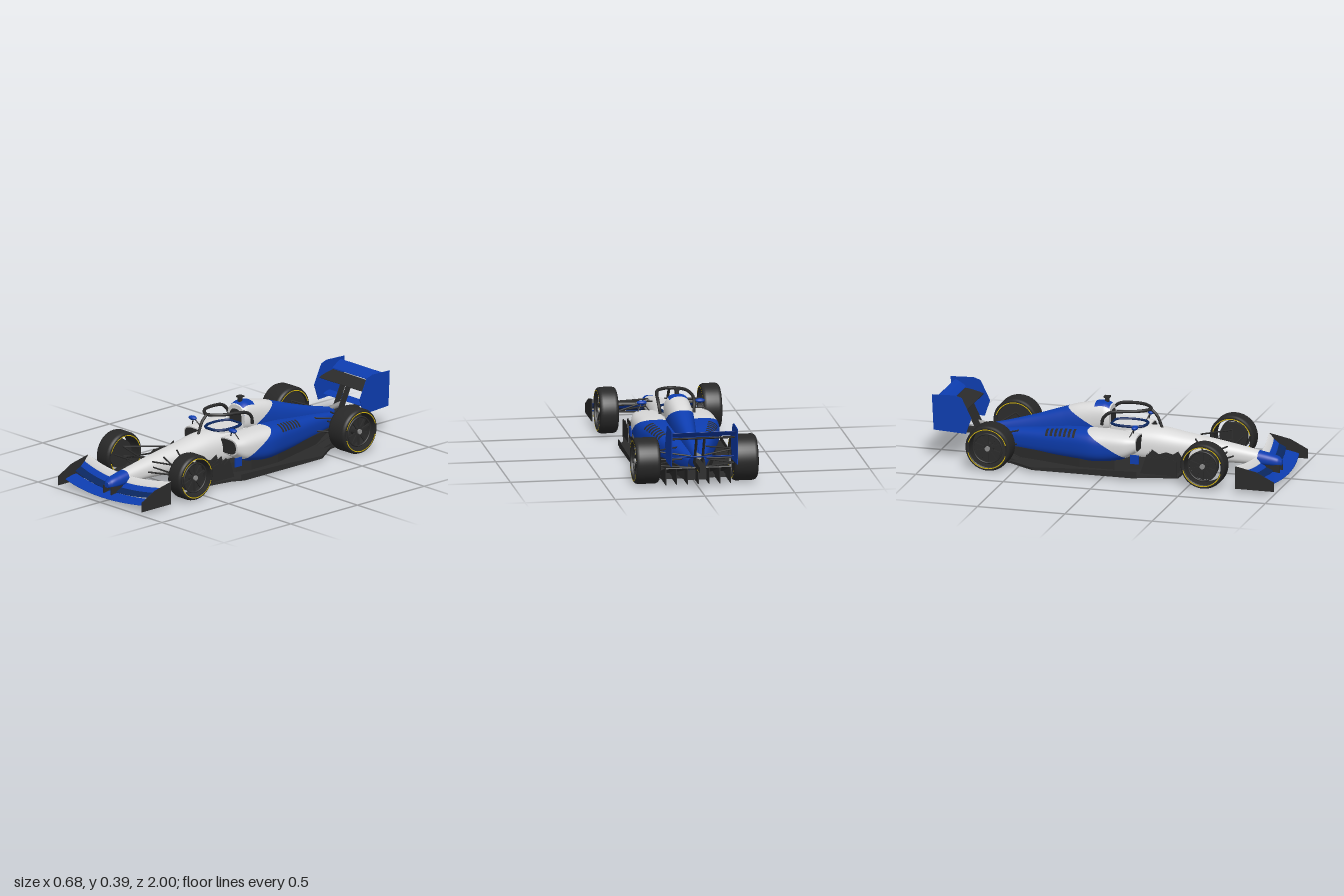
import * as THREE from 'three';
import { ParametricGeometry } from 'three/addons/geometries/ParametricGeometry.js';

const mat = (name, color) => Object.assign(new THREE.MeshStandardMaterial({ color }), { name });
const V = (x, y, z) => new THREE.Vector3(x, y, z);
const TAU = Math.PI * 2;

export function createModel() {
  const car = new THREE.Group();
  car.name = 'racingCar';
  const white = mat('white', 0xdadada), blue = mat('blue', 0x0d3db0), navy = mat('navy', 0x0a2760);
  const carbon = mat('carbon', 0x2b2b2b), rubber = mat('rubber', 0x282828);
  const yellow = mat('yellow', 0xd8b90a), grey = mat('grey', 0x8c8c8c);

  const add = (name, geo, m, parent = car) => {
    const mesh = new THREE.Mesh(geo, m);
    mesh.name = name;
    parent.add(mesh);
    return mesh;
  };
  const box = (name, m, w, h, d, x, y, z, parent) => {
    const b = add(name, new THREE.BoxGeometry(w, h, d), m, parent);
    b.position.set(x, y, z);
    return b;
  };
  const rod = (name, m, a, b, r = 0.005) => {
    const c = add(name, new THREE.CylinderGeometry(r, r, a.distanceTo(b), 8), m);
    c.position.copy(a).lerp(b, 0.5);
    c.quaternion.setFromUnitVectors(V(0, 1, 0), b.clone().sub(a).normalize());
  };
  const tube = (name, m, pts, r, closed = false) =>
    add(name, new THREE.TubeGeometry(new THREE.CatmullRomCurve3(pts.map(p => V(...p)), closed), 64, r, 10, closed), m);
  // upright plate from a (z, y) outline, centred on x
  const plate = (name, m, pts, x, t = 0.004) => {
    const g = new THREE.ExtrudeGeometry(new THREE.Shape(pts.map(p => new THREE.Vector2(...p))), { depth: t, bevelEnabled: false });
    add(name, g.translate(0, 0, -t / 2).rotateY(-Math.PI / 2), m).position.x = x;
  };
  // flat slab from half an (x, z) outline, mirrored
  const slab = (name, m, half, y, t) => {
    const pts = [...half, ...half.map(([x, z]) => [-x, z]).reverse()].map(p => new THREE.Vector2(...p));
    const g = new THREE.ExtrudeGeometry(new THREE.Shape(pts), { depth: t, bevelEnabled: false });
    add(name, g.rotateX(Math.PI / 2), m).position.y = y;
  };

  // smooth sections: rows [z, halfWidth, bottom, top, centreX], z falling
  const sample = (rows, z) => {
    let i = 0;
    while (i < rows.length - 2 && z < rows[i + 1][0]) i++;
    const a = rows[i], b = rows[i + 1], p = rows[i - 1] || a, q = rows[i + 2] || b, h = b[0] - a[0];
    const s = THREE.MathUtils.clamp((z - a[0]) / h, 0, 1), s2 = s * s, s3 = s2 * s;
    return [1, 2, 3, 4].map(k => {
      const m0 = (b[k] - p[k]) / (b[0] - p[0]) * h, m1 = (q[k] - a[k]) / (q[0] - a[0]) * h;
      return (2 * s3 - 3 * s2 + 1) * a[k] + (s3 - 2 * s2 + s) * m0 + (3 * s2 - 2 * s3) * b[k] + (s3 - s2) * m1;
    });
  };
  const pw = (v, e) => Math.sign(v) * Math.abs(v) ** e;
  const surface = (rows, side = 1, e = 0.8, mid = 0.42) => (z, t, off = 0) => {
    const [w, yb, yt, cx] = sample(rows, z), ym = yb + (yt - yb) * mid, s = pw(Math.sin(t), e);
    return V(side * cx + (w + off) * pw(Math.cos(t), e), ym + (s > 0 ? yt - ym + off : ym - yb + off) * s, z);
  };
  // skin between two z limits; a limit may depend on height
  const skin = (name, m, S, back, front, t0 = 0, t1 = TAU, off = 0, nu = 48, nv = 32) => {
    const limit = (f, t) => {
      if (typeof f === 'number') return f;
      let z = -0.1;
      for (let i = 0; i < 14; i++) z = (z + f(S(z, t).y)) / 2;
      return z;
    };
    add(name, new ParametricGeometry((u, v, p) => {
      const t = t0 + (t1 - t0) * u;
      p.copy(S(THREE.MathUtils.lerp(limit(back, t), limit(front, t), v), t, off));
    }, nu, nv), m);
  };
  const cap = (name, m, S, z, scale = 1, dz = 0) => {
    const c = S(z, 0).add(S(z, Math.PI)).multiplyScalar(0.5);
    c.y = (S(z, Math.PI / 2).y + S(z, -Math.PI / 2).y) / 2;
    add(name, new ParametricGeometry((u, v, p) => {
      p.copy(S(z, u * TAU)).lerp(c, 1 - scale * (1 - v));
      p.z += dz;
    }, 40, 2), m);
  };
  // slanted colour edge between white front and blue rear
  const edge = (lo, hi) => y => THREE.MathUtils.clamp(0.3 - 1.8 * y, lo, hi);

  // nose and cockpit tub
  const tub = surface([[0.95, 0.016, 0.075, 0.105, 0], [0.93, 0.032, 0.07, 0.122, 0], [0.88, 0.04, 0.07, 0.136, 0],
    [0.81, 0.045, 0.072, 0.15, 0], [0.6, 0.062, 0.07, 0.187, 0], [0.4, 0.085, 0.06, 0.215, 0],
    [0.25, 0.1, 0.05, 0.238, 0], [0.1, 0.105, 0.05, 0.238, 0], [-0.15, 0.1, 0.05, 0.235, 0]]);
  skin('noseAndTub', white, tub, -0.15, 0.82);
  skin('noseTip', blue, tub, 0.82, 0.95);
  cap('noseTipFace', blue, tub, 0.95);
  for (const s of [-1, 1]) box('nosePylon', carbon, 0.006, 0.045, 0.09, s * 0.03, 0.06, 0.9);

  // airbox and engine cover
  const cover = surface([[-0.02, 0.07, 0.2, 0.342, 0], [-0.06, 0.073, 0.19, 0.358, 0], [-0.2, 0.071, 0.15, 0.337, 0],
    [-0.3, 0.064, 0.1, 0.306, 0], [-0.45, 0.048, 0.08, 0.255, 0], [-0.6, 0.033, 0.08, 0.21, 0], [-0.74, 0.02, 0.1, 0.175, 0]]);
  skin('airbox', white, cover, edge(-0.74, -0.02), -0.02);
  skin('engineCover', blue, cover, -0.74, edge(-0.74, -0.02));
  cap('airboxFace', white, cover, -0.02);
  cap('airIntake', carbon, cover, -0.02, 0.7, 0.004);
  skin('airboxTopPatch', blue, cover, -0.11, -0.025, 0.9, Math.PI - 0.9, 0.003, 16, 6);
  box('cameraStalk', carbon, 0.02, 0.035, 0.02, 0, 0.367, -0.05);
  box('cameraPod', carbon, 0.032, 0.008, 0.035, 0, 0.385, -0.05);

  // sidepods with intake and louvres
  for (const side of [1, -1]) {
    const pod = surface([[0.17, 0.078, 0.13, 0.222, 0.137], [0.1, 0.09, 0.09, 0.229, 0.14], [0, 0.097, 0.065, 0.234, 0.136],
      [-0.1, 0.1, 0.058, 0.234, 0.13], [-0.25, 0.09, 0.055, 0.222, 0.1], [-0.4, 0.075, 0.055, 0.2, 0.068],
      [-0.55, 0.055, 0.06, 0.18, 0.04], [-0.72, 0.03, 0.08, 0.155, 0.018]], side, 0.72, 0.5);
    skin('sidepodFront', white, pod, edge(-0.72, 0.17), 0.17);
    skin('sidepodRear', blue, pod, -0.72, edge(-0.72, 0.17));
    cap('sidepodLip', white, pod, 0.17);
    cap('sidepodIntake', carbon, pod, 0.17, 0.88, 0.003);
    box('sidepodFin', blue, 0.008, 0.05, 0.05, side * 0.222, 0.105, 0.17);
    for (let i = 0; i < 7; i++) {
      const z = -0.18 - i * 0.028, t = side > 0 ? [0.5, 1.3] : [Math.PI - 1.3, Math.PI - 0.5];
      skin('louvre', carbon, pod, z - 0.015, z, ...t, 0.004, 10, 2);
    }
    // mirror
    const mirror = add('mirror', new THREE.SphereGeometry(1, 16, 10), blue);
    mirror.scale.set(0.028, 0.012, 0.018);
    mirror.position.set(side * 0.162, 0.268, 0.155);
    rod('mirrorStay', carbon, V(side * 0.15, 0.262, 0.15), V(side * 0.115, 0.215, 0.13), 0.003);
    rod('mirrorStay', carbon, V(side * 0.165, 0.262, 0.15), V(side * 0.19, 0.215, 0.13), 0.003);
  }

  // cockpit surround, rim and halo
  slab('cockpitSurround', white, [[0.035, 0.175], [0.06, 0.15], [0.07, 0.08], [0.065, -0.01], [0.04, -0.03]], 0.243, 0.05);
  tube('cockpitRim', navy, [[0.04, 0.246, 0.17], [0.068, 0.246, 0.13], [0.07, 0.246, 0.04], [0.045, 0.246, -0.01],
    [-0.045, 0.246, -0.01], [-0.07, 0.246, 0.04], [-0.068, 0.246, 0.13], [-0.04, 0.246, 0.17]], 0.008, true);
  const haloHalf = [[0.093, 0.25, -0.055], [0.098, 0.29, -0.045], [0.1, 0.322, -0.01], [0.094, 0.334, 0.06], [0.07, 0.337, 0.15]];
  tube('halo', carbon, [...haloHalf, [0, 0.335, 0.2], ...haloHalf.map(([x, y, z]) => [-x, y, z]).reverse()], 0.009);
  tube('haloPillar', carbon, [[0, 0.335, 0.2], [0, 0.3, 0.235], [0, 0.23, 0.265]], 0.008);

  // floor, underbody and barge boards
  slab('floor', carbon, [[0.22, 0.42], [0.25, 0.25], [0.285, 0.18], [0.285, -0.4], [0.19, -0.55], [0.18, -0.62]], 0.03, 0.014);
  slab('underbody', carbon, [[0.09, 0.33], [0.17, 0.14], [0.2, 0.05], [0.2, -0.15], [0.06, -0.7]], 0.085, 0.06);
  for (const s of [-1, 1]) {
    plate('floorEdge', carbon, [[0.2, 0.02], [0.2, 0.055], [-0.15, 0.045], [-0.4, 0.032], [-0.4, 0.02]], s * 0.283);
    [0.12, 0.16, 0.2, 0.225].forEach((x, i) => plate('bargeBoard', carbon,
      [[0.41, 0.02], [0.41, 0.11], [0.39, 0.14 - i * 0.006], [0.36, 0.12], [0.32, 0.13], [0.28, 0.115], [0.24, 0.14], [0.22, 0.08], [0.2, 0.02]], s * x));
  }
  // diffuser
  const roof = box('diffuserRoof', carbon, 0.36, 0.006, 0.28, 0, 0.07, -0.65);
  roof.rotation.x = 0.31;
  for (let i = 0; i < 7; i++)
    plate('diffuserFence', carbon, [[-0.5, 0.018], [-0.78, 0.018], [-0.78, 0.115], [-0.5, 0.028]], -0.18 + i * 0.06);
  box('crashStructure', carbon, 0.035, 0.03, 0.2, 0, 0.132, -0.83);
  rod('exhaust', grey, V(0, 0.165, -0.7), V(0, 0.18, -0.81), 0.015);
  rod('exhaustTip', yellow, V(0, 0.105, -0.78), V(0, 0.105, -0.81), 0.01);

  // wing element: front and back (z, y), half span, sweep and tip rise
  const wing = (name, m, [zf, yf], [zb, yb], half, th, sweep = 0, rise = 0) => {
    const cz = (zf + zb) / 2, cy = (yf + yb) / 2, dz = (zf - zb) / 2, dy = (yf - yb) / 2, l = Math.hypot(dz, dy);
    add(name, new ParametricGeometry((u, v, p) => {
      const c = Math.cos(u * TAU), n = -Math.sin(u * TAU) * th / l, k = (2 * v - 1) ** 2;
      p.set((2 * v - 1) * half, cy + dy * c + dz * n + rise * k, cz + dz * c - dy * n - sweep * k);
    }, 20, 28), m);
  };
  wing('frontWingMain', blue, [0.985, 0.026], [0.9, 0.042], 0.333, 0.004, 0.035, 0.02);
  wing('frontWingLowerFlap', navy, [0.91, 0.046], [0.86, 0.068], 0.333, 0.003, 0.035, 0.03);
  wing('frontWingMiddleFlap', blue, [0.872, 0.062], [0.832, 0.092], 0.333, 0.003, 0.035, 0.03);
  wing('frontWingUpperFlap', white, [0.84, 0.088], [0.81, 0.121], 0.333, 0.003, 0.035, 0.03);
  wing('rearWingMain', carbon, [-0.81, 0.285], [-0.92, 0.31], 0.182, 0.006);
  wing('rearWingFlap', blue, [-0.91, 0.318], [-0.975, 0.357], 0.182, 0.004);
  wing('beamWing', blue, [-0.84, 0.185], [-0.89, 0.2], 0.182, 0.004);
  for (const s of [-1, 1]) {
    plate('frontEndplate', carbon, [[1, 0.022], [1, 0.075], [0.9, 0.125], [0.78, 0.15], [0.78, 0.022]], s * 0.335);
    plate('rearEndplate', blue, [[-0.775, 0.25], [-0.83, 0.362], [-0.87, 0.375], [-1, 0.37], [-0.99, 0.17], [-0.805, 0.16]], s * 0.183);
    plate('rearWingPylon', carbon, [[-0.75, 0.13], [-0.79, 0.13], [-0.87, 0.295], [-0.83, 0.295]], s * 0.022, 0.007);
  }

  // wheels and suspension
  const wheel = (side, z, x0, rear) => {
    const g = new THREE.Group(), h = (0.34 - x0) / 2;
    g.name = rear ? 'rearWheel' : 'frontWheel';
    g.position.set(side * (0.34 - h), 0.13, z);
    car.add(g);
    const prof = [[0.105, 0.008 - h], [0.115, -h], [0.123, 0.006 - h], [0.128, 0.02 - h], [0.128, h - 0.02],
      [0.123, h - 0.006], [0.115, h], [0.105, h - 0.008], [0.105, 0.008 - h]];
    add('tyre', new THREE.LatheGeometry(prof.map(p => new THREE.Vector2(...p)), 48).rotateZ(-Math.PI / 2), rubber, g);
    for (const f of [-1, 1]) for (const a of [0.25, 0.25 + Math.PI])
      add('tyreStripe', new THREE.RingGeometry(0.108, 0.113, 24, 1, a, 2.6).rotateY(f * Math.PI / 2), yellow, g).position.x = f * (h + 0.001);
    const disc = (name, m, r, w, x) => {
      add(name, new THREE.CylinderGeometry(r, r, w, 32).rotateZ(Math.PI / 2), m, g).position.x = side * x;
    };
    disc('brakeDrum', carbon, rear ? 0.105 : 0.08, 0.03, rear ? -h + 0.03 : 0);
    disc('hub', carbon, 0.028, 0.04, h - 0.035);
    disc('wheelNut', grey, 0.014, 0.02, h - 0.015);
    add('rim', new THREE.TorusGeometry(0.082, 0.005, 8, 40).rotateY(Math.PI / 2), carbon, g).position.x = side * (h - 0.015);
    for (let i = 0; i < 10; i++) {
      const a = i * TAU / 10;
      box('spoke', carbon, 0.008, 0.064, 0.012, side * (h - 0.018), 0.05 * Math.cos(a), 0.05 * Math.sin(a), g).rotation.x = a;
    }
    // each arm runs from the hub carrier to the body
    const out = x0 + 0.02, arms = rear
      ? [[0.18, 0, 0.03, 0.17, 0.14], [0.18, 0, 0.03, 0.16, -0.06], [0.1, 0, 0.03, 0.1, 0.15], [0.1, 0, 0.03, 0.1, -0.08], [0.13, 0, 0.02, 0.13, 0]]
      : [[0.175, 0, 0.05, 0.198, -0.12], [0.175, 0, 0.045, 0.17, 0.06], [0.12, 0, 0.05, 0.135, -0.1], [0.12, 0, 0.045, 0.12, 0.1], [0.11, 0, 0.05, 0.18, -0.02], [0.14, 0.06, 0.045, 0.14, 0.06]];
    for (const [y0, dz, x1, y1, d1] of arms)
      rod('suspensionArm', carbon, V(side * out, y0, z + dz), V(side * x1, y1, z + d1), 0.0045);
  };
  for (const s of [-1, 1]) {
    wheel(s, 0.59, 0.235, false);
    wheel(s, -0.64, 0.205, true);
  }
  return car;
}
